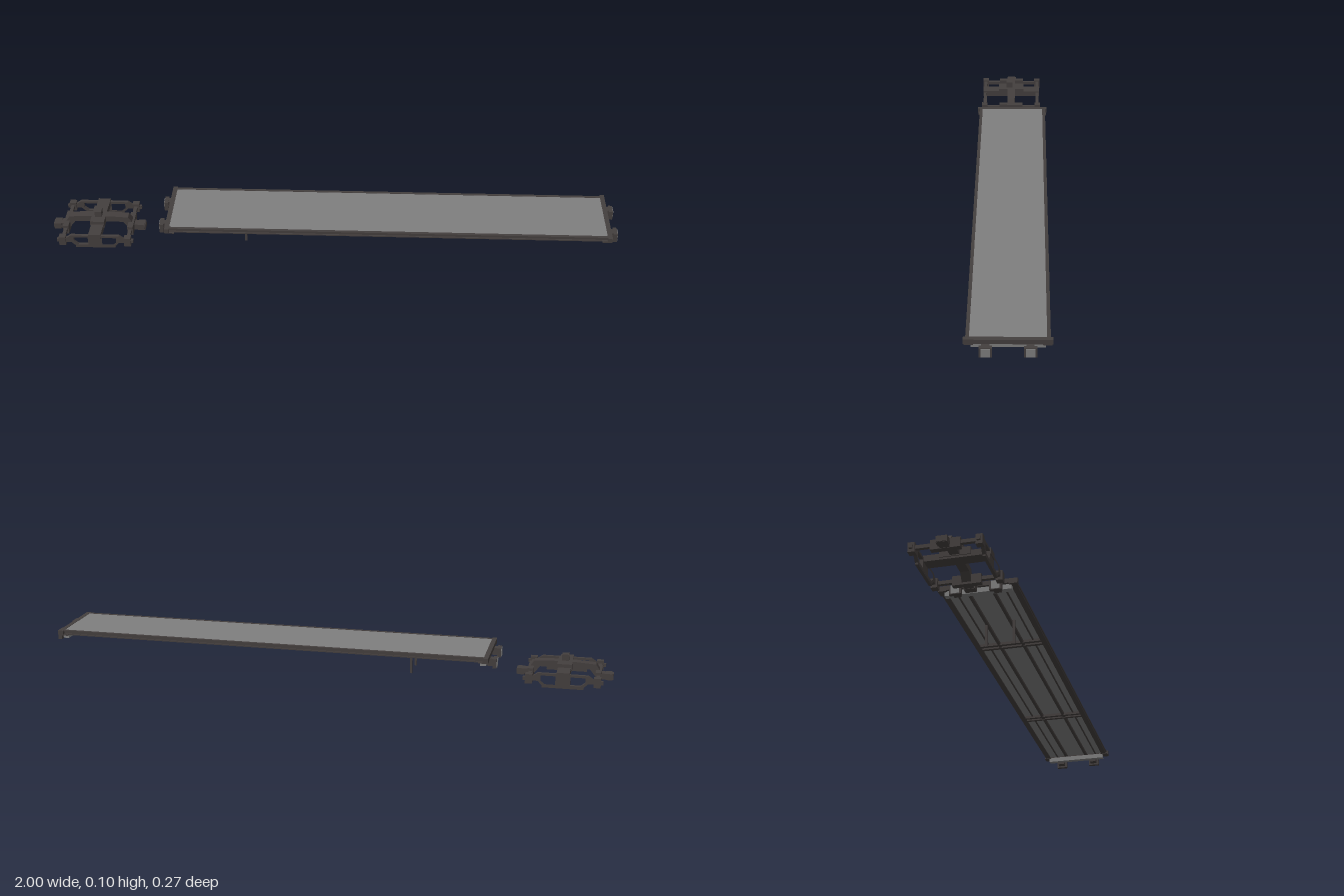
import * as THREE from 'three';

export function createModel() {
  const model = new THREE.Group();
  model.name = 'flatWagon';
  const dark = new THREE.MeshStandardMaterial({ color: 0x443f3e });
  dark.name = 'dark iron';
  const grey = new THREE.MeshStandardMaterial({ color: 0x7f7f7f });
  grey.name = 'grey steel';

  // box given by its min/max limits on each axis
  const box = (parent, name, mat, [x0, x1], [y0, y1], [z0, z1]) => {
    const mesh = new THREE.Mesh(new THREE.BoxGeometry(x1 - x0, y1 - y0, z1 - z0), mat);
    mesh.position.set((x0 + x1) / 2, (y0 + y1) / 2, (z0 + z1) / 2);
    mesh.name = name;
    parent.add(mesh);
    return mesh;
  };
  // side profile (x, y) extruded across z
  const profile = (parent, name, mat, pts, z, width, holes = []) => {
    const shape = new THREE.Shape(pts.map(p => new THREE.Vector2(...p)));
    holes.forEach(h => shape.holes.push(new THREE.Path(h.map(p => new THREE.Vector2(...p)))));
    const geo = new THREE.ExtrudeGeometry(shape, { depth: width, bevelEnabled: false });
    const mesh = new THREE.Mesh(geo, mat);
    mesh.position.z = z - width / 2;
    mesh.name = name;
    parent.add(mesh);
    return mesh;
  };

  // deck, built about its own middle
  const deck = new THREE.Group();
  deck.name = 'deck';
  deck.position.x = 0.195;
  model.add(deck);
  const L = 0.775;
  box(deck, 'deckPlate', grey, [-L, L], [0.09, 0.0955], [-0.117, 0.117]);
  for (const s of [-1, 1]) {
    const span = (a, b) => (s > 0 ? [a, b] : [-b, -a]);
    // side channel with upper and lower lips
    box(deck, 'sideSill', dark, [-L, L], [0.081, 0.096], span(0.116, 0.122));
    box(deck, 'sideSillTop', dark, [-L, L], [0.092, 0.0965], span(0.116, 0.127));
    box(deck, 'sideSillBottom', dark, [-L, L], [0.08, 0.084], span(0.108, 0.127));
    // longitudinal floor beams
    box(deck, 'mainBeam', dark, [-L, L], [0.081, 0.09], span(0.036, 0.046));
    box(deck, 'floorStringer', dark, [-L, L], [0.086, 0.09], span(0.078, 0.083));
    // paired cross beams
    for (const dx of [-0.012, 0.012])
      box(deck, 'crossBeam', dark, [s * 0.33 + dx - 0.006, s * 0.33 + dx + 0.006], [0.08, 0.09], [-0.116, 0.116]);

    // end of the wagon
    const end = new THREE.Group();
    end.name = 'wagonEnd';
    end.rotation.y = s > 0 ? 0 : Math.PI;
    deck.add(end);
    box(end, 'endBeam', dark, [L - 0.012, L + 0.004], [0.081, 0.0965], [-0.134, 0.134]);
    box(end, 'headstock', grey, [L - 0.025, L - 0.005], [0.064, 0.081], [-0.112, 0.112]);
    for (const m of [-1, 1]) {
      const z = m * 0.067;
      box(end, 'endBracket', dark, [L - 0.03, L + 0.004], [0.078, 0.082], [m * 0.118 - 0.014, m * 0.118 + 0.014]);
      box(end, 'bufferHousing', dark, [L - 0.01, L + 0.017], [0.056, 0.082], [z - 0.012, z + 0.012]);
      box(end, 'bufferHead', dark, [L + 0.014, L + 0.028], [0.05, 0.083], [z - 0.02, z + 0.02]);
      box(end, 'bufferFace', grey, [L + 0.026, L + 0.03], [0.052, 0.081], [z - 0.014, z + 0.014]);
    }
  }

  // hanging levers below the deck
  for (const z of [0.052, -0.044])
    box(model, 'lever', dark, [-0.31, -0.302], [0, 0.09], [z - 0.004, z + 0.004]);

  // bogie standing apart from the wagon
  const bogie = new THREE.Group();
  bogie.name = 'bogie';
  bogie.position.set(-0.835, 0, 0.007);
  model.add(bogie);
  const mirror = half => [...half, ...half.slice().reverse().map(([x, y]) => [-x, y])];

  // stepped centre sill with dropped ends
  profile(bogie, 'centreSill', dark, mirror([
    [-0.165, 0.013], [-0.165, 0.032], [-0.125, 0.034], [-0.105, 0.064], [-0.04, 0.068],
  ]).concat(mirror([[0.04, 0.045], [0.085, 0.045], [0.11, 0.013]]).slice(0, 3).reverse(),
    [[-0.04, 0.045], [-0.085, 0.045], [-0.11, 0.013]]), 0, 0.03);

  // transverse bolster and pivot
  box(bogie, 'bolster', dark, [-0.025, 0.025], [0.042, 0.068], [-0.05, 0.05]);
  box(bogie, 'bolsterArms', dark, [-0.022, 0.022], [0.035, 0.056], [-0.113, 0.113]);
  box(bogie, 'pivot', dark, [-0.012, 0.012], [0.066, 0.09], [-0.006, 0.02]);

  for (const s of [-1, 1]) {
    // end cross members
    const x = s * 0.115;
    box(bogie, 'crossMember', dark, [x - 0.006, x + 0.006], [0.024, 0.036], [-0.114, 0.114]);
    box(bogie, 'crossBlock', dark, [x - 0.01, x + 0.01], [0.012, 0.045], [-0.047, 0.047]);
    box(bogie, 'couplerBlock', dark, [s * 0.15 - 0.012, s * 0.15 + 0.012], [0.012, 0.034], [-0.018, 0.018]);

    // side frame: arched upper bar and dropped lower bar
    const z = s * 0.105;
    profile(bogie, 'sideFrame', dark, mirror([
      [-0.135, 0.022], [-0.135, 0.034], [-0.105, 0.036], [-0.085, 0.05],
    ]).concat([[0.085, 0.022]], mirror([[0.065, 0.003]]), [[-0.085, 0.022]]), z, 0.011, [
      [[-0.075, 0.024], [-0.06, 0.012], [-0.025, 0.012], [-0.025, 0.042], [-0.075, 0.042]],
      [[0.075, 0.024], [0.06, 0.012], [0.025, 0.012], [0.025, 0.042], [0.075, 0.042]],
    ]);
    box(bogie, 'stepRail', dark, [-0.07, 0.07], [0, 0.006], [z - 0.005, z + 0.005]);
    for (const e of [-1, 1])
      box(bogie, 'axleBox', dark, [e * 0.115 - 0.012, e * 0.115 + 0.012], [0.012, 0.045], [z - 0.011, z + 0.011]);
  }
  return model;
}
